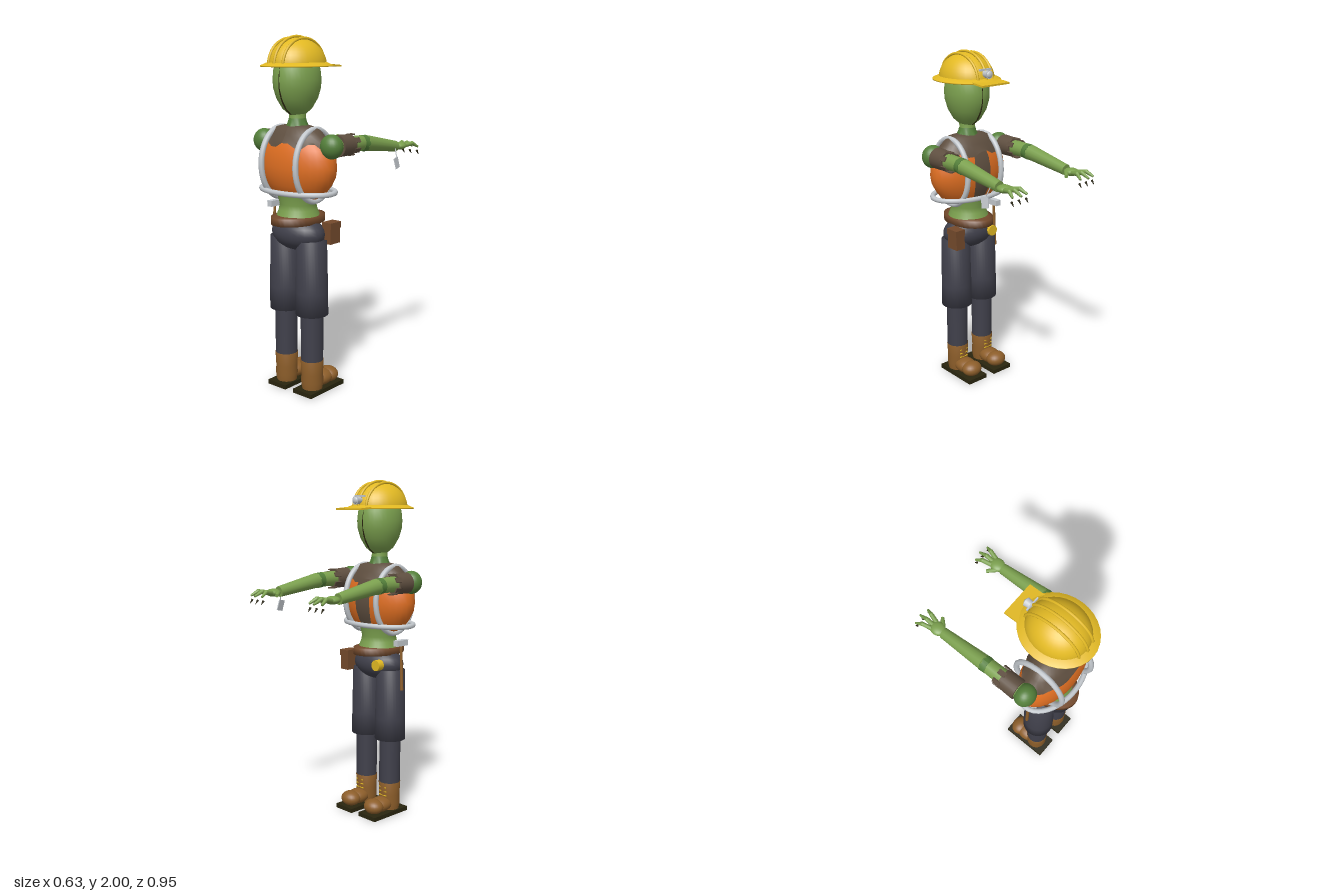
import * as THREE from 'three';

const mat = (name, color, side = THREE.FrontSide) => {
  const m = new THREE.MeshStandardMaterial({ color, side });
  m.name = name;
  return m;
};
const V = (x, y, z) => new THREE.Vector3(x, y, z);
const CZ = 0.262; // body axis

export function createModel() {
  const model = new THREE.Group();
  const green = mat('leaf green', 0x7ba04e), darkGreen = mat('dark green', 0x547f3a);
  const orange = mat('vest orange', 0xe06f22), shirt = mat('shirt brown', 0x5f4f40, THREE.DoubleSide);
  const navy = mat('trouser charcoal', 0x40404b), grey = mat('pale grey', 0xc4c9ce);
  const yellow = mat('helmet yellow', 0xe2b923), tan = mat('boot tan', 0x8d5e2a);
  const dark = mat('sole black', 0x29250f), leather = mat('belt leather', 0x744a2c);

  const add = (name, geo, material, pos = [0, 0, 0], scale = [1, 1, 1]) => {
    const m = new THREE.Mesh(geo, material);
    m.name = name;
    m.position.set(...pos);
    m.scale.set(...scale);
    model.add(m);
    return m;
  };
  const ball = (name, material, pos, radii) =>
    add(name, new THREE.SphereGeometry(1, 24, 16), material, pos, radii);
  const box = (name, material, pos, size) => add(name, new THREE.BoxGeometry(...size), material, pos);
  // Turned part: profile of [radius, y], bottom to top, flattened in depth
  const turned = (name, material, profile, depth = 1, x = 0, jag = 0, phi = 0, sweep = Math.PI * 2) => {
    const geo = new THREE.LatheGeometry(profile.map(p => new THREE.Vector2(...p)), 32, phi, sweep);
    if (jag) {
      const p = geo.attributes.position, n = profile.length;
      for (let i = 0; i <= 32; i++) p.setY(i * n, p.getY(i * n) + (i % 4 < 2 ? jag : -jag));
      geo.computeVertexNormals();
    }
    return add(name, geo, material, [x, 0, CZ], [1, 1, depth]);
  };
  // Tapered rod between two points
  const rod = (name, material, a, b, r0, r1, sides = 16, jag = 0) => {
    const geo = new THREE.CylinderGeometry(r1, r0, a.distanceTo(b), sides);
    if (jag) {
      const p = geo.attributes.position;
      for (let i = 0; i < p.count; i++) {
        if (p.getY(i) < 0 || Math.hypot(p.getX(i), p.getZ(i)) < r1 * 0.5) continue;
        const k = Math.round(Math.atan2(p.getX(i), p.getZ(i)) / (Math.PI * 2) * sides);
        if (k & 1) p.setY(i, p.getY(i) - jag);
      }
      geo.computeVertexNormals();
    }
    const m = add(name, geo, material);
    m.position.copy(a).lerp(b, 0.5);
    m.quaternion.setFromUnitVectors(V(0, 1, 0), b.clone().sub(a).normalize());
    return m;
  };
  // Tube following an ellipse or an arc of one
  const hoop = (name, material, point, tube, arc = Math.PI * 2) => {
    const closed = arc > 6, n = 24;
    const pts = Array.from({ length: closed ? n : n + 1 }, (_, i) => point(arc * i / n));
    add(name, new THREE.TubeGeometry(new THREE.CatmullRomCurve3(pts, closed), 48, tube, 8, closed), material);
  };

  // Head, split by a dark seam
  turned('head', green, [[0.001, 1.565], [0.04, 1.578], [0.075, 1.61], [0.105, 1.665], [0.12, 1.72],
    [0.123, 1.765], [0.118, 1.82], [0.1, 1.87], [0.06, 1.91], [0.001, 1.925]], 1.15);
  ball('headSeam', dark, [0, 1.755, CZ], [0.008, 0.19, 0.1455]);
  turned('neck', green, [[0.085, 1.47], [0.06, 1.51], [0.046, 1.53], [0.046, 1.6]]);
  turned('neckFrill', darkGreen, [[0.062, 1.51], [0.052, 1.54], [0.047, 1.56]], 1, 0, 0.008);

  // Hard hat
  add('helmetDome', new THREE.SphereGeometry(1, 32, 12, 0, Math.PI * 2, 0, Math.PI / 2), yellow,
    [0, 1.838, CZ], [0.15, 0.147, 0.173]);
  turned('helmetBrim', yellow, [[0.12, 1.836], [0.185, 1.834], [0.185, 1.84], [0.15, 1.856], [0.13, 1.856]], 1.14);
  for (const x of [-0.052, 0, 0.052]) {
    const k = Math.sqrt(1 - (x / 0.15) ** 2);
    hoop('helmetRidge', yellow, a => V(x, 1.84 + 0.151 * k * Math.sin(a), CZ + 0.175 * k * Math.cos(a)), 0.008, Math.PI);
  }
  box('helmetBill', yellow, [0, 1.838, 0.068], [0.196, 0.01, 0.125]).rotation.x = -0.08;
  box('lampStrap', grey, [0, 1.905, 0.099], [0.085, 0.012, 0.008]);
  rod('lampHousing', grey, V(0, 1.882, 0.115), V(0, 1.882, 0.062), 0.018, 0.024);
  ball('lampLens', grey, [0, 1.882, 0.064], [0.02, 0.02, 0.012]);

  // Torso with open vest over a shirt
  const chest = [[0.001, 1.105], [0.1, 1.112], [0.175, 1.145], [0.22, 1.2], [0.248, 1.25], [0.256, 1.3],
    [0.25, 1.35], [0.232, 1.4], [0.2, 1.44], [0.16, 1.475], [0.1, 1.505]];
  turned('vest', orange, chest, 0.55);
  turned('shirtFront', shirt, chest.slice(2, 9).map(([r, y]) => [r + 0.004, y]), 0.56, 0, 0, Math.PI - 0.22, 0.44);
  turned('shirtYoke', shirt, [[0.224, 1.422], [0.205, 1.445], [0.172, 1.475], [0.14, 1.51], [0.08, 1.522], [0.05, 1.522]],
    0.57, 0, 0.012);
  turned('waist', green, [[0.122, 1.02], [0.106, 1.06], [0.1, 1.09], [0.115, 1.15]], 1.02);

  // Reflective harness
  for (const x of [-0.125, 0.125])
    hoop('harnessStrap', grey, a => V(x, 1.31 + 0.196 * Math.sin(a), CZ + 0.156 * Math.cos(a)), 0.016);
  hoop('harnessBand', grey, a => V(0.238 * Math.cos(a), 1.165, CZ + 0.15 * Math.sin(a)), 0.015);

  // Hips and belt
  turned('belt', leather, [[0.1, 0.983], [0.127, 0.985], [0.127, 1.025], [0.1, 1.029], [0.001, 1.03]], 1.37);
  ball('hips', navy, [0, 0.925, CZ], [0.172, 0.098, 0.115]);
  box('pouch', leather, [0.165, 0.93, 0.173], [0.06, 0.115, 0.082]);
  box('pouchFlap', leather, [0.168, 0.975, 0.173], [0.064, 0.035, 0.088]);
  rod('tapeMeasure', yellow, V(-0.09, 0.93, 0.18), V(-0.09, 0.93, 0.14), 0.032, 0.032, 20);
  rod('hammerHandle', tan, V(-0.201, 0.785, 0.25), V(-0.192, 1.05, 0.25), 0.01, 0.008, 10);
  box('hammerHead', grey, [-0.19, 1.066, 0.25], [0.034, 0.034, 0.09]);

  for (const s of [-1, 1]) {
    // Legs
    const x = s * 0.099;
    turned('trouserLeg', navy, [[0.001, 0.469], [0.092, 0.47], [0.091, 0.6], [0.085, 0.895], [0.001, 0.9]], 1, x);
    turned('shin', navy, [[0.063, 0.19], [0.064, 0.48]], 1, x);
    turned('bootShaft', tan, [[0.058, 0.028], [0.064, 0.07], [0.062, 0.12], [0.066, 0.198], [0.05, 0.202]], 1, x);
    ball('bootInstep', tan, [x, 0.068, 0.185], [0.06, 0.045, 0.08]);
    ball('bootToe', tan, [x, 0.068, 0.125], [0.063, 0.045, 0.056]);
    box('sole', dark, [x, 0.016, 0.207], [0.136, 0.025, 0.285]);
    for (const y of [0.12, 0.145, 0.17])
      rod('lace', yellow, V(x - 0.028, y, 0.203), V(x + 0.028, y, 0.203), 0.004, 0.004, 6);

    // Arms, reaching forward
    const ax = s * 0.248;
    ball('shoulder', darkGreen, [ax, 1.422, 0.268], [0.065, 0.066, 0.058]);
    rod('sleeve', shirt, V(ax, 1.422, 0.225), V(ax, 1.42, 0.122), 0.06, 0.057, 24);
    for (let i = 0; i < 6; i++) {
      const a = i * Math.PI / 3;
      const t = box('sleeveTatter', shirt, [ax + 0.055 * Math.sin(a), 1.42 + 0.055 * Math.cos(a), 0.112], [0.028, 0.007, 0.046]);
      t.rotation.z = -a;
    }
    rod('upperArm', green, V(ax, 1.422, 0.25), V(ax, 1.42, -0.005), 0.048, 0.042);
    rod('elbowFrill', darkGreen, V(ax, 1.42, 0.025), V(ax, 1.416, -0.015), 0.044, 0.046, 16, 0.01);
    rod('forearm', green, V(ax, 1.418, -0.012), V(ax, 1.372, -0.3), 0.044, 0.031);
    ball('elbow', green, [ax, 1.418, 0], [0.043, 0.043, 0.04]);

    // Hand with three bent fingers, thumb and claws
    ball('palm', green, [ax, 1.37, -0.342], [0.04, 0.022, 0.045]);
    for (const f of [-1, 0, 1]) {
      const a = V(ax + f * 0.022, 1.372, -0.37), b = V(ax + f * 0.036, 1.381, -0.42);
      const c = V(ax + f * 0.05, 1.358, f ? -0.46 : -0.473);
      rod('fingerBase', green, a, b, 0.013, 0.012, 10);
      rod('fingerTip', green, b, c, 0.012, 0.006, 10);
      ball('knuckle', green, b.toArray(), [0.012, 0.012, 0.012]);
      rod('claw', dark, V(c.x, 1.336, -0.45), V(c.x, 1.314, -0.468), 0.007, 0.001, 6);
    }
    rod('thumb', green, V(ax - s * 0.028, 1.368, -0.33), V(ax - s * 0.066, 1.36, -0.368), 0.014, 0.01, 10);
  }

  // Tag hanging from the left wrist
  rod('tagCord', grey, V(0.272, 1.375, -0.265), V(0.298, 1.315, -0.25), 0.003, 0.003, 6);
  const tag = box('tag', grey, [0.3, 1.285, -0.247], [0.006, 0.062, 0.046]);
  tag.rotation.set(0.2, 0.2, 0.12);

  return model;
}
